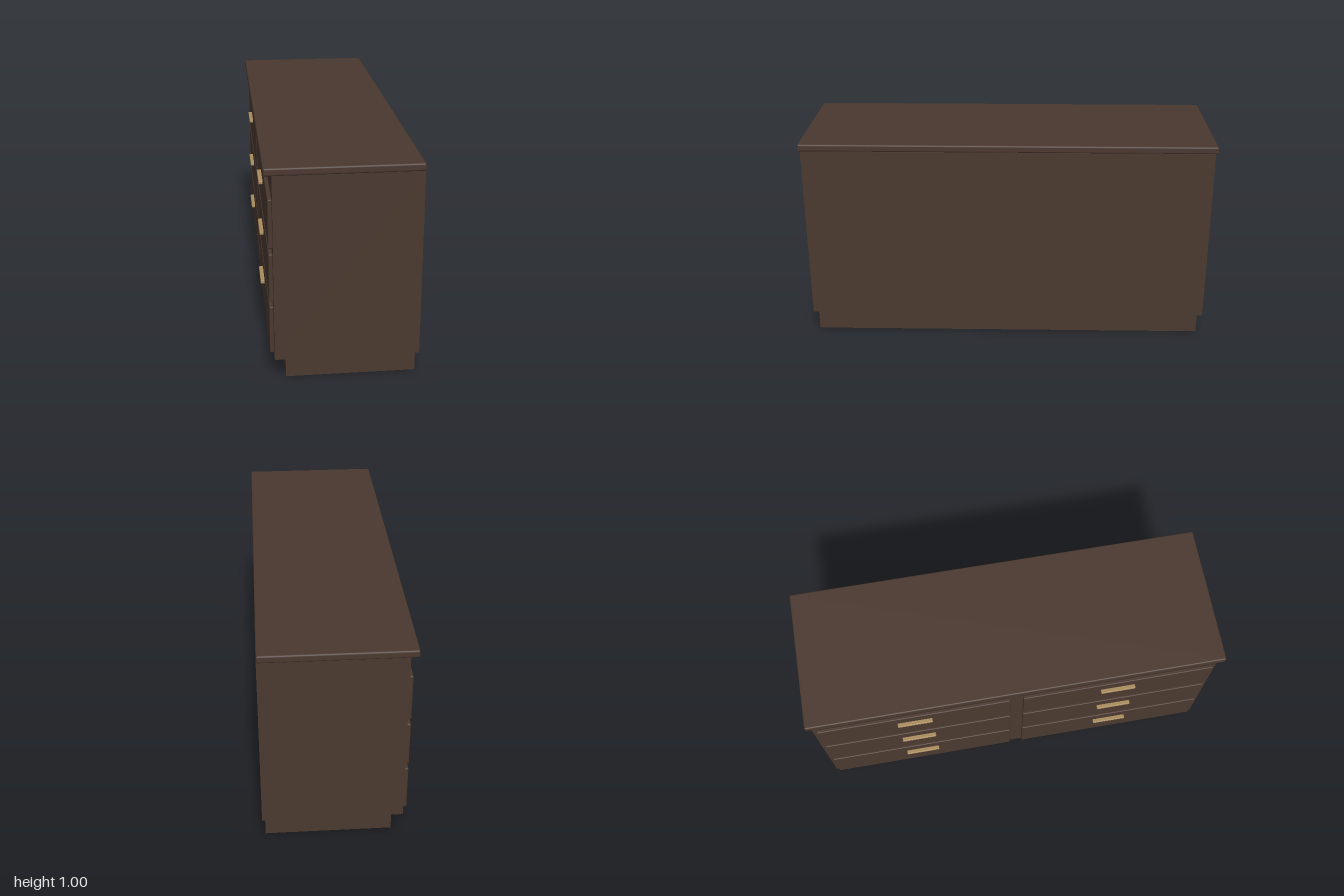
import * as THREE from 'three';
import { RoundedBoxGeometry } from 'three/addons/geometries/RoundedBoxGeometry.js';

export function createModel() {
  const group = new THREE.Group();
  group.name = 'dresser';

  const wood = new THREE.MeshStandardMaterial({ color: 0x4a382f });
  wood.name = 'dark walnut';
  const brass = new THREE.MeshStandardMaterial({ color: 0xa88b5c });
  brass.name = 'brass';

  // Box between two corners, with softened edges when a radius is given
  function block(name, material, [x0, x1], [y0, y1], [z0, z1], radius = 0) {
    const size = [x1 - x0, y1 - y0, z1 - z0];
    const geometry = radius
      ? new RoundedBoxGeometry(...size, 2, radius)
      : new THREE.BoxGeometry(...size);
    const mesh = new THREE.Mesh(geometry, material);
    mesh.name = name;
    mesh.position.set((x0 + x1) / 2, (y0 + y1) / 2, (z0 + z1) / 2);
    group.add(mesh);
  }

  // Carcass: recessed plinth, cabinet body, overhanging top
  block('plinth', wood, [-0.257, 0.328], [0, 0.1], [-0.963, 0.963]);
  block('cabinetBody', wood, [-0.307, 0.342], [0.1, 0.965], [-0.987, 0.987]);
  block('topBoard', wood, [-0.344, 0.342], [0.965, 1], [-1, 1], 0.008);

  // Two columns of three drawers on the -x side, each with a bar pull
  for (const z of [-0.5, 0.5]) {
    for (let row = 0; row < 3; row++) {
      const y = 0.239 + row * 0.25;
      block('drawerFront', wood, [-0.326, -0.307], [y - 0.112, y + 0.112], [z - 0.468, z + 0.468], 0.005);
      block('drawerHandle', brass, [-0.345, -0.324], [y + 0.043, y + 0.059], [z - 0.085, z + 0.085], 0.004);
    }
  }

  return group;
}
